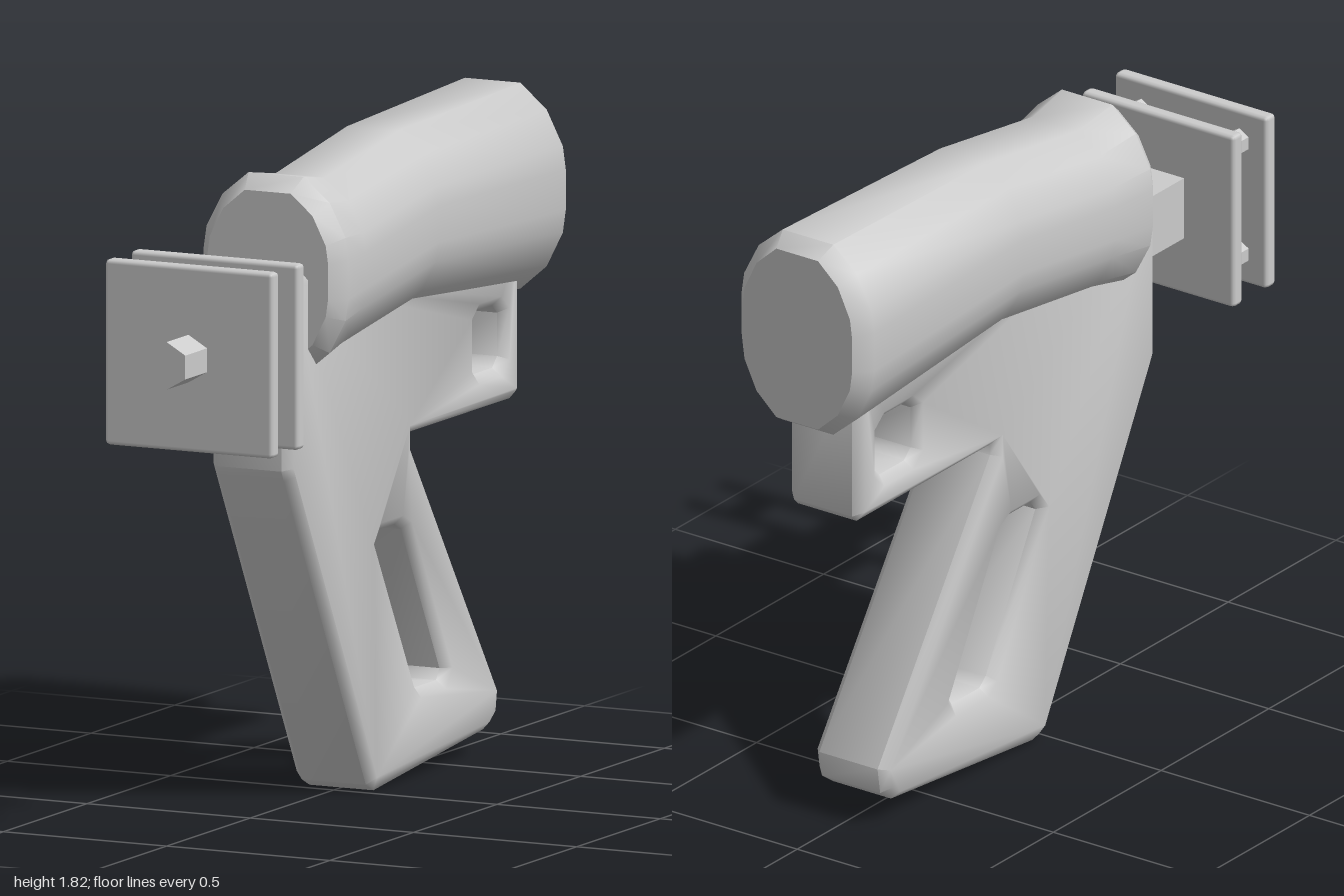
import * as THREE from 'three';
import { toCreasedNormals } from 'three/addons/utils/BufferGeometryUtils.js';
import { RoundedBoxGeometry } from 'three/addons/geometries/RoundedBoxGeometry.js';

const material = new THREE.MeshStandardMaterial({ color: 0xcccccc });
const points = list => list.map(([z, y]) => new THREE.Vector2(z, y));

function add(parent, name, geometry, x = 0, y = 0, z = 0) {
  const mesh = new THREE.Mesh(geometry, material);
  mesh.name = name;
  mesh.position.set(x, y, z);
  parent.add(mesh);
  return mesh;
}

// Side profile (z, y) with two cut-outs, extruded across x with a chamfer
function bodyGeometry() {
  const shape = new THREE.Shape(points([
    [0.48, 1.51], [0.505, 1.48], [0.505, 0.97], [0.49, 0.94], [0, 0.025], [-0.045, 0.003],
    [-0.7, 0.07], [-0.75, 0.105], [-0.762, 0.18], [-0.24, 0.93], [-0.24, 0.962],
    [-0.86, 0.962], [-0.88, 0.982], [-0.88, 1.4], [-0.8, 1.51],
  ]));
  shape.holes.push(
    new THREE.Path(points([
      [-0.03, 0.69], [-0.055, 0.72], [-0.17, 0.72], [-0.21, 0.7],
      [-0.44, 0.28], [-0.42, 0.25], [-0.29, 0.25], [-0.26, 0.275],
    ])),
    new THREE.Path(points([
      [-0.61, 1.09], [-0.61, 1.21], [-0.64, 1.235], [-0.755, 1.235],
      [-0.785, 1.21], [-0.785, 1.09], [-0.755, 1.062], [-0.64, 1.062],
    ])),
  );
  const width = 0.246, bevel = 0.025;
  const geometry = new THREE.ExtrudeGeometry(shape, {
    depth: width - 2 * bevel, bevelSize: bevel, bevelThickness: bevel,
    bevelOffset: -bevel, bevelSegments: 1,
  });
  geometry.translate(0, 0, bevel - width / 2).rotateY(-Math.PI / 2);
  return toCreasedNormals(geometry, 0.83);
}

// Rounded cross-section lofted along z through [z, bottom, top, halfWidth]
function barrelGeometry() {
  const corner = [[1, 0.2], [0.96, 0.42], [0.74, 0.76], [0.38, 1]];
  const flip = (sx, sy) => corner.map(([x, y]) => [x * sx, y * sy]);
  const section = [
    ...flip(1, 1), ...flip(-1, 1).reverse(), ...flip(-1, -1), ...flip(1, -1).reverse(),
  ];
  const rings = [
    [-1, 1.28, 1.785, 0.185], [-0.95, 1.25, 1.82, 0.224], [-0.23, 1.3, 1.798, 0.204],
    [0.2, 1.24, 1.735, 0.2], [0.345, 1.213, 1.76, 0.222], [0.395, 1.25, 1.72, 0.185],
  ];
  const n = section.length, positions = [], index = [];
  for (const [z, bottom, top, half] of rings)
    for (const [x, y] of section)
      positions.push(x * half, (top + bottom) / 2 + y * (top - bottom) / 2, z);
  for (let r = 0; r < rings.length - 1; r++)
    for (let i = 0; i < n; i++) {
      const a = r * n + i, b = r * n + (i + 1) % n;
      index.push(a, b, b + n, a, b + n, a + n);
    }
  // End caps
  const last = (rings.length - 1) * n;
  for (let i = 1; i < n - 1; i++) {
    index.push(0, i + 1, i);
    index.push(last, last + i, last + i + 1);
  }
  const geometry = new THREE.BufferGeometry();
  geometry.setAttribute('position', new THREE.Float32BufferAttribute(positions, 3));
  geometry.setIndex(index);
  return toCreasedNormals(geometry, 0.85);
}

// Hexagonal rod along z, a point of the hexagon upwards
function hexRod(radius, length) {
  const geometry = new THREE.CylinderGeometry(radius, radius, length, 6);
  return toCreasedNormals(geometry.rotateX(Math.PI / 2), 0.5);
}

export function createModel() {
  const model = new THREE.Group();
  model.name = 'handTool';
  add(model, 'gripBody', bodyGeometry());
  add(model, 'barrel', barrelGeometry());

  // Front head: neck, two square plates, four spacers and the centre rod
  const head = new THREE.Group();
  head.name = 'plateHead';
  head.position.y = 1.33;
  model.add(head);
  add(head, 'neck', new THREE.BoxGeometry(0.18, 0.18, 0.22), 0, 0, 0.58);
  for (const z of [0.694, 0.847])
    add(head, 'plate', new RoundedBoxGeometry(0.514, 0.514, 0.045, 1, 0.012), 0, 0, z);
  for (const x of [-0.165, 0.165])
    for (const y of [-0.167, 0.167])
      add(head, 'spacer', hexRod(0.036, 0.13), x, y, 0.77);
  add(head, 'centreRod', hexRod(0.066, 0.32), 0, 0.002, 0.84);
  return model;
}
